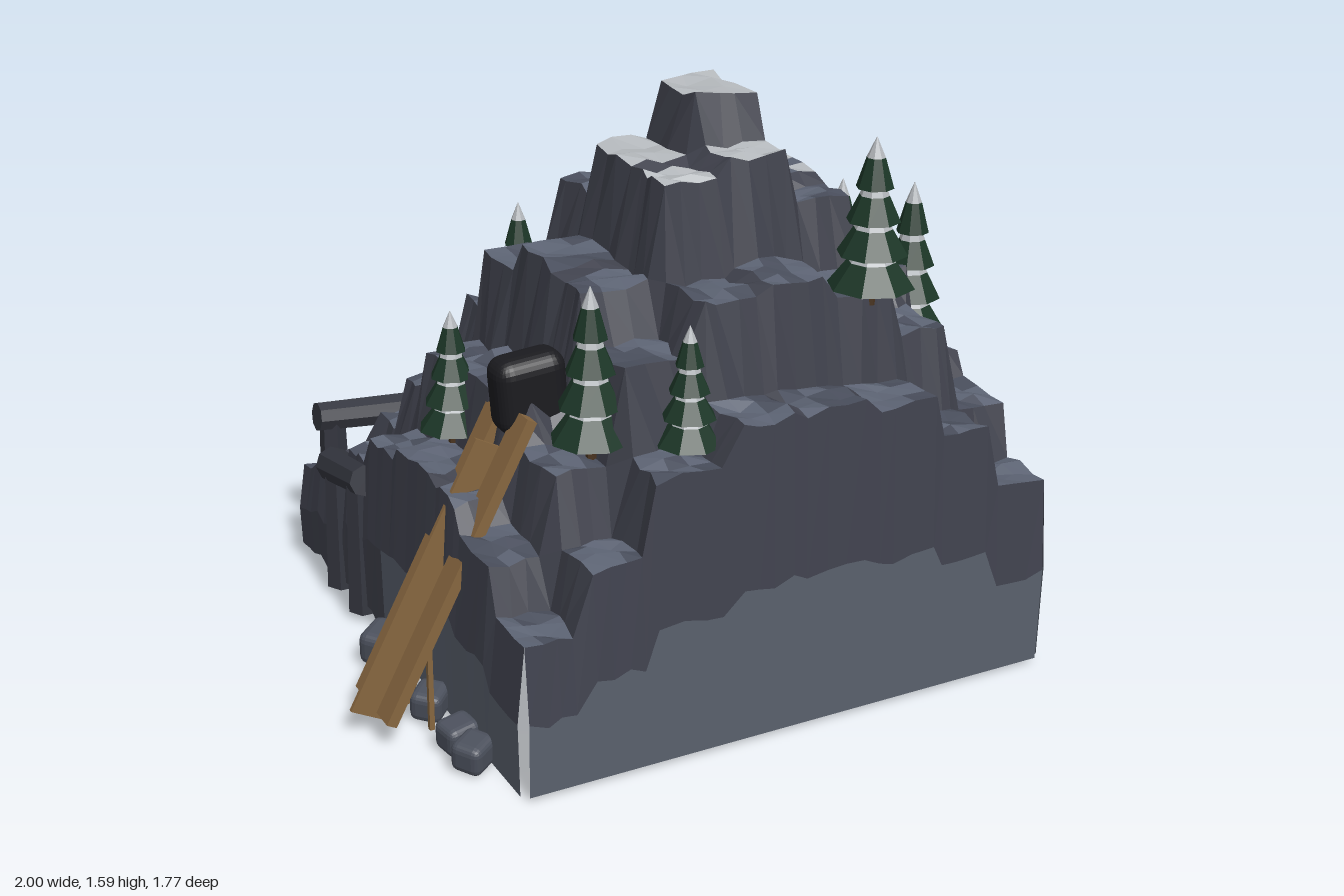
import * as THREE from 'three';
import { RoundedBoxGeometry } from 'three/addons/geometries/RoundedBoxGeometry.js';

const COLORS = {
  cliff: 0x40424d, ledgeLight: 0x5c6373, ledgeDark: 0x4a4f5d, snow: 0xb4b8bc,
  wallLow: 0x5a616d, wallHigh: 0x40424e, boulder: 0x4b505c, beam: 0x34363f,
  wood: 0x86663f, pine: 0x1c3627, trunk: 0x4a3420, cave: 0x1b1b1f,
};
const mats = {};
for (const k in COLORS) {
  mats[k] = new THREE.MeshStandardMaterial({ color: COLORS[k], flatShading: true, side: THREE.DoubleSide });
}

// Repeatable noise in -1..1
const noise = (i, j, k = 0) => {
  const s = Math.sin(i * 127.1 + j * 311.7 + k * 74.7) * 43758.5453;
  return (s - Math.floor(s)) * 2 - 1;
};

function add(parent, name, geo, mat, pos = [0, 0, 0], rot = [0, 0, 0]) {
  const m = new THREE.Mesh(geo, mats[mat]);
  m.name = name;
  m.position.set(...pos);
  m.rotation.set(...rot);
  parent.add(m);
  return m;
}

// Triangles sorted by colour, one mesh per colour
class Buckets {
  constructor() { this.data = {}; }
  quad(mat, a, b, c, d) {
    (this.data[mat] ||= []).push(...a, ...b, ...c, ...a, ...c, ...d);
  }
  build(parent) {
    for (const mat in this.data) {
      const g = new THREE.BufferGeometry();
      g.setAttribute('position', new THREE.Float32BufferAttribute(this.data[mat], 3));
      g.computeVertexNormals();
      add(parent, mat, g, mat);
    }
  }
}

// Terrace borders, and the highest ledge of each column and row
const XB = [-0.71, -0.55, -0.36, -0.13, 0.07, 0.28, 0.49, 0.67, 0.85];
const ZB = [-0.765, -0.57, -0.36, -0.19, 0.03, 0.29, 0.46, 0.68, 0.865];
const XH = [0.64, 0.86, 1.16, 1.43, 1.57, 1.33, 1.09, 0.8];
const ZH = [0.57, 0.77, 1.04, 1.31, 1.57, 1.46, 1.18, 0.9];
const PEAK = 1.57, LOWEST = 0.35;

// Grid lines: four per terrace, with narrow gaps that become the cliffs
const ticks = (b) => {
  const out = [];
  for (let i = 0; i < 8; i++) {
    const lo = b[i] + (i ? 0.022 : 0), hi = b[i + 1] - (i < 7 ? 0.022 : 0);
    for (let k = 0; k < 4; k++) out.push({ p: lo + ((hi - lo) * k) / 3, cell: i });
  }
  return out;
};

function buildMountain() {
  const group = new THREE.Group();
  group.name = 'mountain';
  const tx = ticks(XB), tz = ticks(ZB), N = tx.length, L = N - 1;
  const V = tx.map((X, i) => tz.map((Z, j) => {
    const h = Math.max(LOWEST, PEAK - Math.hypot(PEAK - XH[X.cell], PEAK - ZH[Z.cell]));
    const x = X.p + (i > 0 && i < L ? 0.011 * noise(i, j, 1) : 0);
    let z = Z.p + (j > 0 && j < L ? 0.011 * noise(i, j, 2) : 0);
    if (j < 2 && x > 0.16 && x < 0.48) z = -0.69 + 0.02 * j; // recess in the back
    const slope = Math.max(0, 3 - j) * 0.025; // back ledges lean outwards
    const y = h + 0.014 * noise(X.cell, Z.cell, 3) + 0.013 * noise(i, j, 4) - slope + (j === 3 ? 0.02 : 0);
    return [x, y, z];
  }));

  // Ledges, cliffs and snow caps
  const top = new Buckets();
  for (let i = 0; i < L; i++) for (let j = 0; j < L; j++) {
    const q = [V[i][j], V[i][j + 1], V[i + 1][j + 1], V[i + 1][j]];
    const mean = q.reduce((s, v) => s + v[1], 0) / 4;
    const flat = tx[i].cell === tx[i + 1].cell && tz[j].cell === tz[j + 1].cell;
    let mat = 'cliff';
    if (flat) mat = mean > 1.315 + 0.015 * noise(i, j, 6) ? 'snow' : noise(i, j, 5) > -0.2 ? 'ledgeLight' : 'ledgeDark';
    top.quad(mat, ...q);
  }
  const ledges = new THREE.Group();
  ledges.name = 'terraces';
  top.build(ledges);

  // Outer walls bulge outwards: two-tone at front and right, dark and rough at the back
  const walls = new Buckets();
  const side = (edge, nx, nz) => {
    const rough = (v) => nz < 0 || (nx < 0 && v[2] < -0.1);
    const col = edge.map((v, k) => {
      const mid = v[1] * 0.5 + 0.014 * noise(k, nx + 2, nz + 7);
      const out = (y, d) => [v[0] + nx * d, y, v[2] + nz * d];
      const foot = rough(v) ? 0.03 + 0.025 * noise(k, nx + 4, nz + 9) : 0.012;
      return [out(foot, 0.018), out(mid, 0.022), v];
    });
    for (let k = 0; k + 1 < col.length; k++) {
      const a = col[k], b = col[k + 1];
      if (nz < 0 && Math.abs(a[0][2] - b[0][2]) > 0.04) continue; // open sides of the recess
      walls.quad(rough(a[0]) ? 'cliff' : 'wallLow', a[0], b[0], b[1], a[1]);
      walls.quad('wallHigh', a[1], b[1], b[2], a[2]);
    }
  };
  side(V.map((c) => c[L]), 0, 1);
  side([...V[L]].reverse(), 1, 0);
  side(V.map((c) => c[0]).reverse(), 0, -1);
  side(V[0], -1, 0);
  const wallGroup = new THREE.Group();
  wallGroup.name = 'outerWalls';
  walls.build(wallGroup);
  group.add(ledges, wallGroup);
  return group;
}

// Four-tier pine with a snow band above each tier
function buildPine(x, z, base, tip, r) {
  const g = new THREE.Group();
  g.name = 'pineTree';
  const h = tip - base;
  g.position.set(x, base, z);
  add(g, 'trunk', new THREE.CylinderGeometry(0.012, 0.014, 0.2 * h, 6), 'trunk', [0, 0.08 * h, 0]);
  for (let t = 0; t < 4; t++) {
    const R = r * (1 - 0.19 * t), y = h * (0.1 + 0.2 * t), last = t === 3;
    const gh = h * (last ? 0.18 : 0.155), sh = h * (last ? 0.12 : 0.06);
    const rt = R * (last ? 0.5 : 0.55);
    add(g, 'branches', new THREE.CylinderGeometry(rt, R, gh, 8), 'pine', [0, y + gh / 2, 0]);
    add(g, 'snowBand', new THREE.CylinderGeometry(last ? 0.001 : rt * 0.75, rt, sh, 8), 'snow', [0, y + gh + sh / 2, 0]);
  }
  return g;
}

// Board between two points in the x-y plane
function board(parent, name, from, to, z, wide, depth) {
  const dx = to[0] - from[0], dy = to[1] - from[1];
  add(parent, name, new THREE.BoxGeometry(Math.hypot(dx, dy), wide, depth), 'wood',
    [(from[0] + to[0]) / 2, (from[1] + to[1]) / 2, z], [0, 0, Math.atan2(dy, dx)]);
}

export function createModel() {
  const model = new THREE.Group();
  model.name = 'mountainDiorama';
  model.add(buildMountain());

  // Pines: x, z, base, tip, radius
  [[0.395, 0.66, 1.08, 1.525, 0.117], [0.72, 0.375, 0.81, 1.285, 0.107], [0.74, -0.015, 0.76, 1.19, 0.1],
    [-0.39, 0.59, 0.77, 1.225, 0.108], [-0.18, 0.725, 0.78, 1.13, 0.088], [-0.565, 0.1, 0.66, 1.03, 0.095],
    [0.58, -0.44, 0.59, 1.0, 0.098], [-0.11, -0.455, 0.69, 1.115, 0.1],
  ].forEach((t) => model.add(buildPine(...t)));

  // Chunky boulders at the foot: x, z, width, turn
  const boulders = new THREE.Group();
  boulders.name = 'boulders';
  [[0.92, -0.45, 0.14, 0.4], [0.9, -0.27, 0.06, 0.2], [0.9, -0.14, 0.14, 0.3], [0.92, 0.12, 0.14, 0.7],
    [0.9, 0.2, 0.12, 0.5], [0.89, 0.27, 0.08, 0.1], [0.91, 0.55, 0.12, 0.4], [0.91, 0.65, 0.13, 0.9],
    [-0.77, 0.04, 0.12, 0.7], [-0.77, 0.38, 0.1, 0.8], [-0.77, 0.57, 0.1, 0.2], [-0.77, 0.67, 0.1, 0.6],
    [-0.2, -0.81, 0.13, 0.75], [-0.01, -0.81, 0.14, 0], [0.59, -0.81, 0.11, 0.35],
  ].forEach(([x, z, w, turn]) => {
    const h = Math.min(w * 0.85, 0.105);
    add(boulders, 'boulder', new RoundedBoxGeometry(w, h, w * 0.9, 2, w * 0.22), 'boulder', [x, h / 2 + 0.004, z], [0.08, turn, 0.06]);
  });
  model.add(boulders);

  // Stone beams with stout pillars: centre, length, turn about y, tilt
  [[[-0.45, 0.4, -0.77], 0.42, 0, -0.08], [[0.36, 0.42, -0.68], 0.4, 0, -0.08], [[-0.72, 0.42, -0.33], 0.28, Math.PI / 2, -0.2],
  ].forEach(([pos, len, turn, tilt]) => {
    const arch = new THREE.Group();
    arch.name = 'stoneArch';
    arch.position.set(...pos);
    arch.rotation.y = turn;
    add(arch, 'beam', new THREE.CylinderGeometry(0.046, 0.052, len, 8), 'beam', [0, 0, 0], [0, 0, Math.PI / 2 + tilt]);
    for (const s of [-1, 1]) {
      const h = pos[1] - 0.02;
      add(arch, 'pillar', new THREE.CylinderGeometry(0.04, 0.05, h, 6), 'beam', [s * (len / 2 - 0.05), -h / 2, 0]);
    }
    model.add(arch);
  });

  // Timber ramp: two rails, a centre fin, short outer and tall inner posts
  const ramp = new THREE.Group();
  ramp.name = 'ramp';
  for (const z of [0.305, 0.46]) {
    board(ramp, 'rail', [-0.925, 0.07], [-0.51, 0.85], z, 0.03, 0.075);
    for (const [x, h] of [[-0.8, 0.28], [-0.68, 0.52]]) {
      add(ramp, 'post', new THREE.BoxGeometry(0.014, h, 0.014), 'wood', [x, h / 2 + 0.01, z]);
    }
  }
  board(ramp, 'centreFin', [-0.935, 0.045], [-0.56, 0.75], 0.385, 0.14, 0.012);
  model.add(ramp);

  // Dark rounded tunnel mouth above the ramp
  add(model, 'tunnelMouth', new RoundedBoxGeometry(0.2, 0.21, 0.12, 3, 0.045), 'cave', [-0.47, 0.89, 0.385], [0, 0, 0.08]);

  return model;
}
